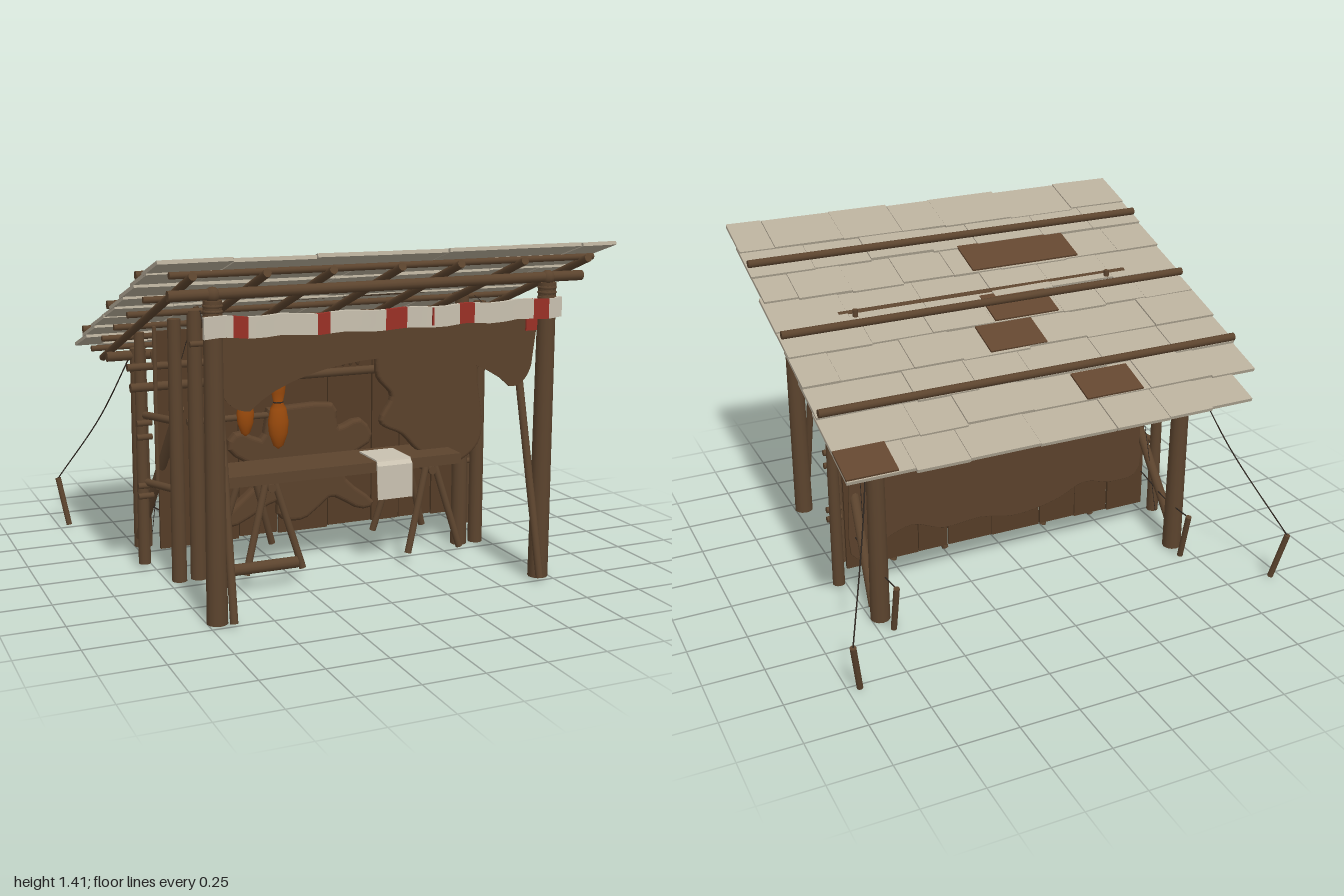
import * as THREE from 'three';

const mat = (name, color, side = THREE.FrontSide) => {
  const m = new THREE.MeshStandardMaterial({ color, side });
  m.name = name;
  return m;
};
const wood = mat('wood', 0x5c442e);
const hide = mat('hide', 0x5a412b, THREE.DoubleSide);
const plankWood = mat('plank wood', 0x543c27);
const shingle = mat('weathered shingle', 0xb7ad9a);
const patchWood = mat('patch wood', 0x62462f);
const linen = mat('linen', 0xc8c0af, THREE.DoubleSide);
const red = mat('red cloth', 0x9a3026, THREE.DoubleSide);
const meat = mat('smoked meat', 0x9a4a0c);
const rope = mat('rope', 0x2e2620);

const V = (x, y, z) => new THREE.Vector3(x, y, z);
const SLOPE = 0.37, TILT = -Math.atan(SLOPE);
const roofY = z => 1.1 + SLOPE * z;

function seeded(seed) {
  return () => (seed = (seed * 16807) % 2147483647) / 2147483647;
}

export function createModel() {
  const model = new THREE.Group();
  const rnd = seeded(77);
  const add = (name, geo, material, x = 0, y = 0, z = 0) => {
    const m = new THREE.Mesh(geo, material);
    m.name = name;
    m.position.set(x, y, z);
    model.add(m);
    return m;
  };
  // Round pole between two points
  const pole = (name, a, b, r, r2 = r) => {
    const d = b.clone().sub(a);
    const m = add(name, new THREE.CylinderGeometry(r2, r, d.length(), 12), wood);
    m.position.copy(a).addScaledVector(d, 0.5);
    m.quaternion.setFromUnitVectors(V(0, 1, 0), d.normalize());
  };
  const cord = (name, pts, r = 0.003) =>
    add(name, new THREE.TubeGeometry(new THREE.CatmullRomCurve3(pts), 16, r, 5), rope);
  const outline = pts => new THREE.Shape(pts.map(p => new THREE.Vector2(...p)));

  // Posts, braces, stakes and guy ropes, mirrored
  for (const s of [-1, 1]) {
    pole('frontPost', V(s * 0.71, 0, 0.69), V(s * 0.71, 1.24, 0.69), 0.042, 0.036);
    add('postCap', new THREE.SphereGeometry(0.03, 12, 8), wood, s * 0.71, 1.26, 0.69);
    pole('middlePost', V(s * 0.615, 0, 0.17), V(s * 0.615, 1.13, 0.16), 0.036, 0.03);
    pole('middleSidePost', V(s * 0.7, 0, 0.17), V(s * 0.7, 1.1, 0.165), 0.032, 0.028);
    pole('middlePeg', V(s * 0.595, 1.1, 0.13), V(s * 0.595, 1.19, 0.13), 0.012);
    pole('wallPost', V(s * 0.787, 0.02, -0.05), V(s * 0.787, 1.02, -0.05), 0.027, 0.022);
    pole('backPost', V(s * 0.71, 0, -0.35), V(s * 0.71, 0.9, -0.36), 0.042, 0.036);
    pole('frontBrace', V(s * 0.67, 0.02, 0.77), V(s * 0.65, 0.96, 0.56), 0.016);
    pole('backBrace', V(s * 0.73, 0.05, -0.33), V(s * 0.68, 0.73, 0.15), 0.021);
    for (const y of [0.39, 0.68])
      pole('sideRung', V(s * 0.7, y, 0.17), V(s * 0.785, y - 0.01, -0.06), 0.016);
    for (const y of [0.325, 0.37, 0.58, 0.64])
      pole('sidePeg', V(s * 0.75, y, -0.02), V(s * 0.815, y, -0.02), 0.013);
    pole('thinSidePole', V(s * 0.74, 0.36, 0.015), V(s * 0.74, 1.05, 0.015), 0.009);
    // Rope wrapping at the post top
    for (const y of [1.18, 1.2, 1.22]) {
      const t = add('postLashing', new THREE.TorusGeometry(0.034, 0.006, 5, 14), wood, s * 0.71, y, 0.69);
      t.rotation.x = Math.PI / 2;
    }
    pole('outerStake', V(s * 0.953, 0.005, -0.775), V(s * 0.988, 0.225, -0.822), 0.013);
    pole('innerStake', V(s * 0.69, 0.005, -0.455), V(s * 0.69, 0.225, -0.505), 0.013);
    cord('guyRope', [V(s * 0.74, 0.87, -0.37), V(s * 0.84, 0.56, -0.56), V(s * 0.988, 0.222, -0.822)]);
    cord('lowRope', [V(s * 0.71, 0.24, -0.06), V(s * 0.7, 0.21, -0.3), V(s * 0.69, 0.222, -0.505)]);
    cord('slackRope', [V(s * 0.62, 1.0, 0.08), V(s * 0.68, 0.6, -0.08), V(s * 0.71, 0.1, -0.2)], 0.0015);
    cord('frontRope', [V(s * 0.68, 0.98, 0.56), V(s * 0.65, 1.06, 0.42), V(s * 0.62, 1.14, 0.26)], 0.0015);
  }

  // Long horizontal poles
  const rail = (name, y, z, x0, x1, r) => pole(name, V(x0, y, z), V(x1, y, z), r);
  rail('frontBeam', 1.262, 0.69, -0.88, 0.87, 0.021);
  rail('middleBeam', 1.163, 0.16, -0.7, 0.66, 0.015);
  rail('backBeam', 0.87, -0.36, -0.85, 0.84, 0.022);
  rail('wallRail', 0.88, -0.015, -0.85, 0.85, 0.016);
  rail('shelfRail', 0.795, -0.01, -0.84, 0.83, 0.019);
  rail('lowRail', 0.63, -0.01, -0.6, -0.15, 0.014);
  rail('hangingRail', 1.0, 0.21, -0.65, 0.65, 0.012);
  rail('groundLog', 0.1, 0.41, -0.57, -0.27, 0.024);

  // Roof: rafters, laths, shingle rows and weighting poles
  for (const x of [-0.82, -0.54, -0.28, 0, 0.25, 0.53, 0.82])
    pole('rafter', V(x, 1.345, 0.81), V(x, 0.835, -0.55), 0.016);
  for (const z of [0.75, 0.4, 0.16, -0.06, -0.27, -0.47])
    rail('lath', roofY(z) - 0.034, z, -0.89, 0.88, 0.013);
  for (const z of [-0.38, 0.06, 0.505])
    rail('roofPole', roofY(z) + 0.034, z, -0.945, 0.935, 0.017);
  const roofBoard = (name, material, x0, x1, z0, z1, lift, thick, tilt) => {
    const zc = (z0 + z1) / 2, len = (z1 - z0) * Math.hypot(1, SLOPE);
    const b = add(name, new THREE.BoxGeometry(x1 - x0, thick, len), material,
      (x0 + x1) / 2, roofY(zc) + lift, zc);
    b.rotation.x = TILT + tilt;
    return b;
  };
  const rows = [-0.7, -0.54, -0.37, -0.2, -0.03, 0.12, 0.29, 0.46, 0.62];
  rows.forEach((z0, i) => {
    let x = i === 0 ? -0.83 : -0.953 + rnd() * 0.01;
    while (x < 0.9) {
      let x1 = x + 0.2 + rnd() * 0.14;
      if (x1 > 0.83) x1 = 0.935 + rnd() * 0.012;
      const back = z0 - rnd() * 0.014;
      const front = i === rows.length - 1 ? 0.81 + rnd() * 0.015 : z0 + 0.21;
      const b = roofBoard('shingle', shingle, x, x1 - 0.002, back, front, rnd() * 0.006, 0.015, 0.05);
      b.rotation.z = (rnd() - 0.5) * 0.016;
      x = x1;
    }
  });
  for (const [x0, x1, z0, z1] of [[0.735, 0.942, -0.7, -0.55], [-0.4, -0.14, -0.545, -0.395],
    [-0.13, 0.13, -0.205, -0.045], [-0.27, 0.03, -0.035, 0.13], [-0.53, -0.01, 0.285, 0.46]])
    roofBoard('roofPatch', patchWood, x0, x1, z0, z1, 0.016, 0.008, 0.04);

  // Back wall of upright planks with uneven widths and ends
  const seams = [-0.72, -0.53, -0.36, -0.18, 0.06, 0.275, 0.415, 0.58, 0.75];
  for (let i = 0; i < seams.length - 1; i++) {
    const bottom = 0.075 + rnd() * 0.015, top = 1.035 - rnd() * 0.02;
    add('wallPlank', new THREE.BoxGeometry(seams[i + 1] - seams[i] - 0.006, top - bottom, 0.014), plankWood,
      (seams[i] + seams[i + 1]) / 2, (top + bottom) / 2, -0.05 + (i % 2) * 0.004);
  }

  // Striped front valance with a slight sag between ties
  const xs = [-0.76, -0.645, -0.59, -0.315, -0.26, -0.03, 0.055, 0.285, 0.355, 0.62, 0.69, 0.755];
  for (let i = 0; i < xs.length - 1; i++) {
    const g = new THREE.BoxGeometry(xs[i + 1] - xs[i], 0.08, 0.02, 4, 3, 2);
    const p = g.attributes.position, mid = (xs[i] + xs[i + 1]) / 2;
    for (let k = 0; k < p.count; k++) {
      const wx = p.getX(k) + mid;
      p.setY(k, p.getY(k) - 0.008 * Math.cos(wx * 2) + 0.004 * Math.sin(wx * 25));
      p.setZ(k, p.getZ(k) + 0.005 * Math.sin(wx * 31));
    }
    g.computeVertexNormals();
    add('valanceStripe', g, i % 2 ? red : linen, mid, 1.145, 0.728);
  }
  add('valanceThread', new THREE.BoxGeometry(0.006, 0.07, 0.008), red, 0.17, 1.137, 0.738);
  // Red side strip, folded linen along its inner top edge
  for (const [name, material, x, w, h, lift] of [['sideStrip', red, 0.755, 0.016, 0.042, 0],
    ['sideFold', linen, 0.742, 0.012, 0.03, 0.018]]) {
    const g = new THREE.BoxGeometry(w, h, 1.09, 1, 1, 12);
    const p = g.attributes.position;
    for (let k = 0; k < p.count; k++) {
      const t = 0.5 - p.getZ(k) / 1.09;
      p.setY(k, p.getY(k) + 1.15 - 0.225 * t - 0.05 * t * (1 - t) + lift * (1 - t * 0.8));
    }
    g.computeVertexNormals();
    add(name, g, material, x, 0, 0.165);
  }
  add('cornerFlap', new THREE.BoxGeometry(0.06, 0.09, 0.008), red, 0.655, 1.09, 0.675);

  // Arched hide hanging behind the valance
  const arch = new THREE.Shape();
  arch.moveTo(-0.69, 1.14);
  arch.lineTo(-0.67, 0.88);
  arch.quadraticCurveTo(-0.63, 0.81, -0.56, 0.81);
  arch.bezierCurveTo(-0.35, 1.02, 0.35, 1.04, 0.56, 0.82);
  arch.quadraticCurveTo(0.63, 0.81, 0.66, 0.9);
  arch.lineTo(0.69, 1.14);
  add('archedHide', new THREE.ExtrudeGeometry(arch, { depth: 0.008, bevelEnabled: false, curveSegments: 16 }),
    hide, 0, 0, 0.66);

  // Stretched hides with soft edges
  const pelt = (name, pts, z, depth, bevel) => {
    const curve = new THREE.SplineCurve(pts.map(p => new THREE.Vector2(...p)));
    add(name, new THREE.ExtrudeGeometry(outline(curve.getPoints(60).map(p => [p.x, p.y])),
      { depth, bevelSize: bevel, bevelThickness: bevel, bevelOffset: -bevel / 2, bevelSegments: 4 }), hide, 0, 0, z);
  };
  pelt('spreadHide', [[-0.23, 0.65], [0.05, 0.655], [0.08, 0.58], [0.1, 0.54], [0.2, 0.57], [0.25, 0.48], [0.12, 0.4],
    [0.13, 0.3], [0.26, 0.19], [0.2, 0.17], [0.07, 0.24], [0, 0.2], [-0.08, 0.15], [-0.18, 0.17], [-0.2, 0.25],
    [-0.38, 0.16], [-0.45, 0.18], [-0.29, 0.32], [-0.29, 0.4], [-0.41, 0.49], [-0.37, 0.56], [-0.26, 0.52], [-0.23, 0.65]],
  -0.03, 0.02, 0.018);
  pelt('hangingHide', [[0.19, 0.99], [0.62, 1.0], [0.66, 0.75], [0.685, 0.52], [0.61, 0.42], [0.5, 0.4],
    [0.38, 0.47], [0.3, 0.55], [0.2, 0.61], [0.25, 0.72], [0.18, 0.82], [0.19, 0.99]], 0.205, 0.012, 0.014);
  // Weather hide over the back of the wall
  pelt('backHide', [[0.73, 0.99], [0.72, 0.6], [0.73, 0.16], [0.6, 0.19], [0.45, 0.24], [0.3, 0.19], [0.12, 0.2],
    [-0.05, 0.17], [-0.25, 0.2], [-0.4, 0.26], [-0.55, 0.23], [-0.69, 0.28], [-0.67, 0.65], [-0.69, 0.99],
    [0, 1.0], [0.73, 0.99]], -0.069, 0.006, 0.003);

  // Hanging meat, two lobes each with cord bands
  const lobe = [[0.002, -0.455], [0.022, -0.44], [0.04, -0.39], [0.044, -0.34], [0.034, -0.285], [0.02, -0.26],
    [0.029, -0.22], [0.034, -0.17], [0.029, -0.1], [0.016, -0.065], [0.002, -0.055]].map(p => new THREE.Vector2(...p));
  for (const [x, top, k] of [[-0.555, 1.0, 0.93], [-0.42, 0.99, 0.85], [-0.275, 1.0, 1.02]]) {
    const m = add('hangingMeat', new THREE.LatheGeometry(lobe, 16), meat, x, top, 0.22);
    m.scale.set(k, k, k * 0.75);
    cord('meatCord', [V(x, top + 0.01, 0.22), V(x, top - 0.07, 0.22)], 0.005);
    for (const [y, r] of [[0.13, 0.032], [0.26, 0.02]]) {
      const band = add('meatBand', new THREE.TorusGeometry(r * k, 0.003, 5, 14), rope, x, top - y * k, 0.22);
      band.rotation.x = Math.PI / 2;
      band.scale.y = 0.75;
    }
  }
  add('meatTag', new THREE.BoxGeometry(0.018, 0.05, 0.006), linen, -0.275, 0.89, 0.25);

  // Row of small dried fillets on the wall
  for (let i = 0; i < 9; i++) {
    const f = add('driedFillet', new THREE.SphereGeometry(1, 8, 8), hide, -0.09 + i * 0.033, 0.892, 0.012);
    f.scale.set(0.019, 0.07, 0.012);
    f.rotation.z = (i - 4) * 0.03;
  }

  // Work table on two trestles
  add('tableTop', new THREE.BoxGeometry(1.07, 0.045, 0.23), wood, -0.015, 0.447, 0.235);
  for (const xc of [-0.345, 0.395]) {
    pole('trestleBar', V(xc, 0.4, 0.33), V(xc, 0.4, -0.01), 0.018);
    for (const [zt, zb] of [[0.305, 0.35], [0.025, -0.01]])
      for (const s of [-1, 1])
        pole('trestleLeg', V(xc + s * 0.02, 0.42, zt), V(xc + s * 0.125, 0.05, zb), 0.015);
  }
  // Linen draped over the table edge
  const drape = outline([[0.18, 0.471], [0.355, 0.471], [0.372, 0.455], [0.376, 0.31],
    [0.37, 0.31], [0.364, 0.452], [0.352, 0.478], [0.18, 0.478]].map(([z, y]) => [-z, y]));
  const cloth = add('tableCloth', new THREE.ExtrudeGeometry(drape, { depth: 0.16, bevelEnabled: false }), linen, 0.115);
  cloth.rotation.y = Math.PI / 2;

  return model;
}
